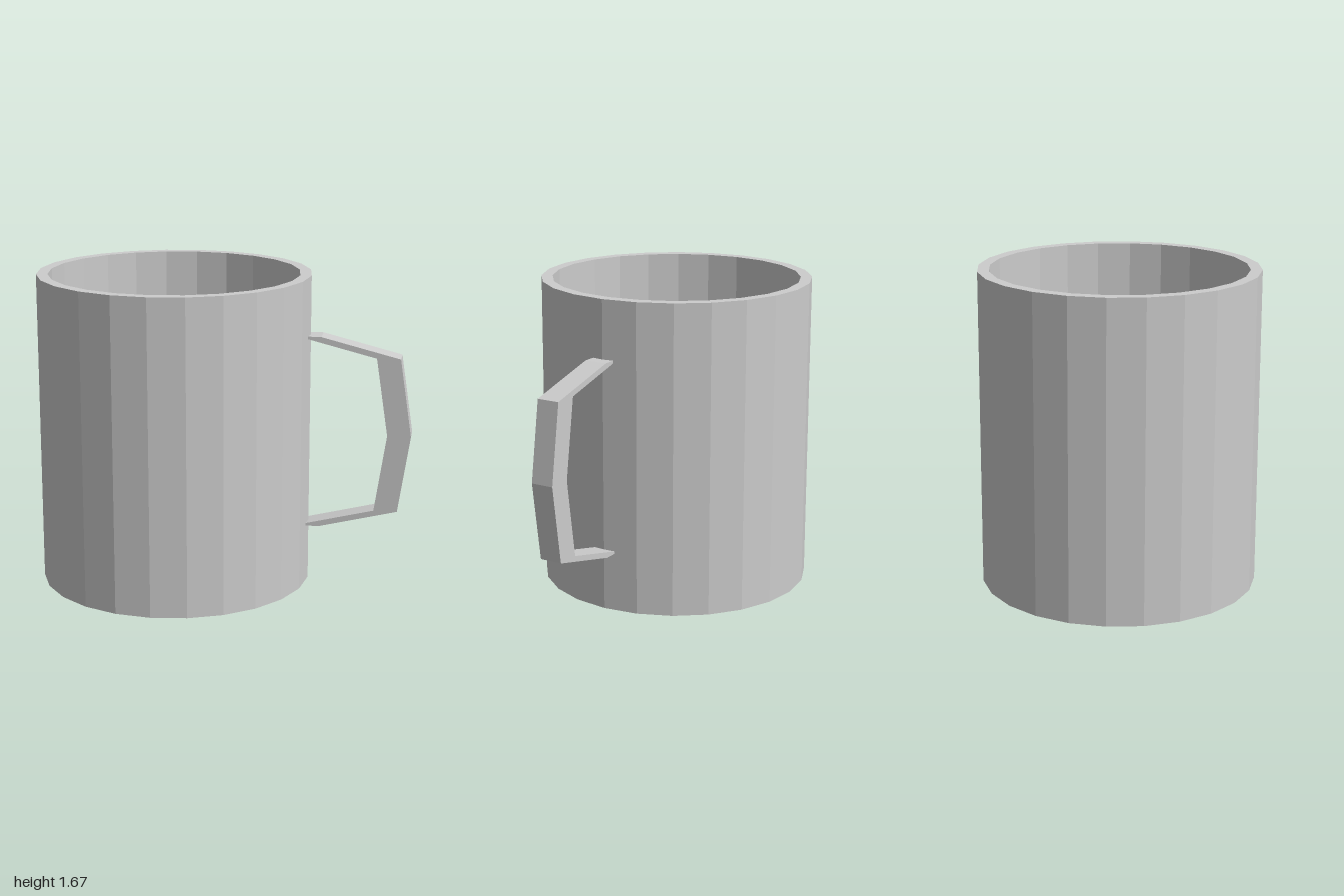
import * as THREE from 'three';

export function createModel() {
  const model = new THREE.Group();
  const grey = new THREE.MeshStandardMaterial({ color: 0xcccccc, flatShading: true });
  grey.name = 'plain grey';

  const add = (name, geometry) => {
    const mesh = new THREE.Mesh(geometry, grey);
    mesh.name = name;
    model.add(mesh);
    return mesh;
  };

  // Hollow 24-sided cup: underside, outer wall, rim, inner wall, inner floor
  const profile = [
    [0, 0], [0.728, 0], [0.728, 1.667], [0.668, 1.667], [0.668, 0.06], [0, 0.06],
  ].map(([r, y]) => new THREE.Vector2(r, y));
  add('cup', new THREE.LatheGeometry(profile, 24)).position.x = -0.272;

  // Angular handle: each section is a level slice of the same width
  const width = 0.125;
  const path = [[0.517, 0.315], [0.935, 0.418], [0.998, 0.834], [0.935, 1.25], [0.517, 1.355]];
  const outer = path.map(([x, y]) => new THREE.Vector2(x, y));
  const inner = path.map(([x, y]) => new THREE.Vector2(x - width, y)).reverse();
  const handle = new THREE.ExtrudeGeometry(new THREE.Shape([...outer, ...inner]), {
    depth: 0.122,
    bevelEnabled: false,
  });
  add('handle', handle).position.z = -0.061;

  return model;
}
